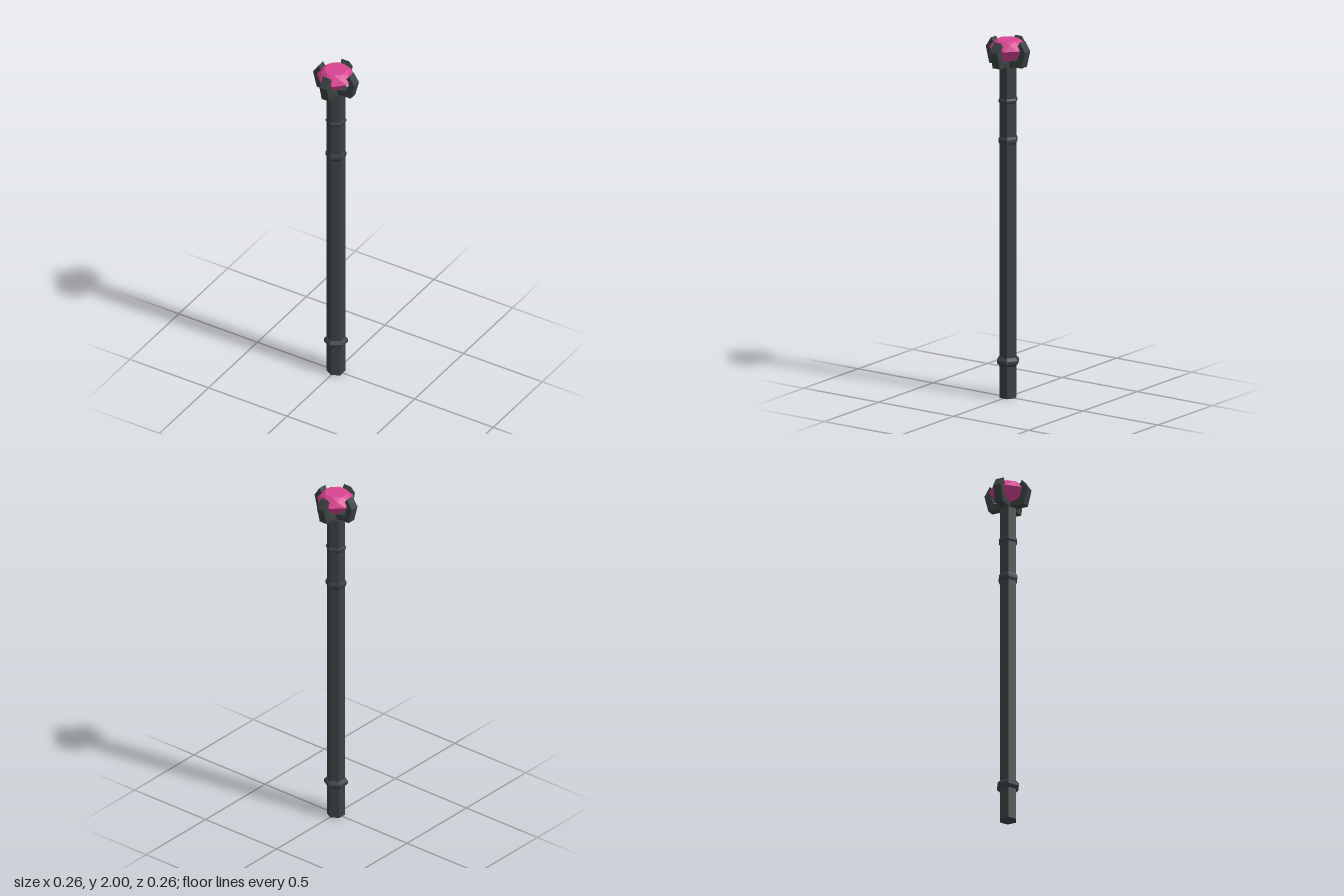
import * as THREE from 'three';

const metal = new THREE.MeshStandardMaterial({ color: 0x3a4342 });
metal.name = 'dark metal';
const pink = new THREE.MeshStandardMaterial({ color: 0xd94492 });
pink.name = 'pink gem';

// Mesh with hard facets
function faceted(geometry, material, name) {
  const g = geometry.index ? geometry.toNonIndexed() : geometry;
  g.computeVertexNormals();
  const mesh = new THREE.Mesh(g, material);
  mesh.name = name;
  return mesh;
}

// Hexagonal rod turned from a [radius, y] profile
function turned(profile, name) {
  const points = profile.map(([r, y]) => new THREE.Vector2(r, y));
  return faceted(new THREE.LatheGeometry(points, 6), metal, name);
}

// Brilliant-cut gem: table, star facets, kites, girdle facets and pavilion
function gemGeometry() {
  const n = 8;
  const ring = (r, y, offset) => (i) => {
    const a = ((i + offset) / n) * Math.PI * 2;
    return [r * Math.sin(a), y, r * Math.cos(a)];
  };
  const table = ring(0.063, 2.0, 0.5);
  const star = ring(0.083, 1.983, 0);
  const girdle = ring(0.105, 1.953, 0.5);
  const top = [0, 2.0, 0];
  const tip = [0, 1.845, 0];
  const pos = [];
  const tri = (...corners) => corners.forEach((p) => pos.push(...p));
  for (let i = 0; i < n; i++) {
    tri(top, table(i - 1), table(i));
    tri(table(i - 1), star(i), table(i));
    tri(table(i), star(i), girdle(i));
    tri(table(i), girdle(i), star(i + 1));
    tri(star(i), girdle(i - 1), girdle(i));
    tri(girdle(i - 1), tip, girdle(i));
  }
  const g = new THREE.BufferGeometry();
  g.setAttribute('position', new THREE.Float32BufferAttribute(pos, 3));
  return g;
}

export function createModel() {
  const model = new THREE.Group();
  model.name = 'staff';

  // Shaft
  model.add(turned([[0, 0], [0.05, 0], [0.05, 1.85], [0, 1.85]], 'shaft'));

  // Raised bands: centre height, radius, half height
  for (const [y, r, h] of [[0.203, 0.066, 0.026], [1.44, 0.057, 0.026], [1.662, 0.056, 0.016]]) {
    model.add(turned([[0.048, y - h], [r, y - h * 0.3], [r, y + h * 0.3], [0.048, y + h]], 'band'));
  }

  // Four claws holding the gem
  const outline = [
    [0, 1.84], [0.03, 1.84], [0.05, 1.857], [0.108, 1.857], [0.131, 1.948], [0.097, 2.0],
    [0.076, 1.968], [0.095, 1.943], [0.08, 1.895], [0.03, 1.885], [0, 1.885],
  ].map(([x, y]) => new THREE.Vector2(x, y));
  const clawGeometry = new THREE.ExtrudeGeometry(new THREE.Shape(outline), { depth: 0.048, bevelEnabled: false });
  clawGeometry.translate(0, 0, -0.024);
  for (let i = 0; i < 4; i++) {
    const claw = faceted(clawGeometry, metal, 'claw');
    claw.rotation.y = (i * Math.PI) / 2;
    model.add(claw);
  }

  // Gem
  model.add(faceted(gemGeometry(), pink, 'gem'));
  return model;
}
